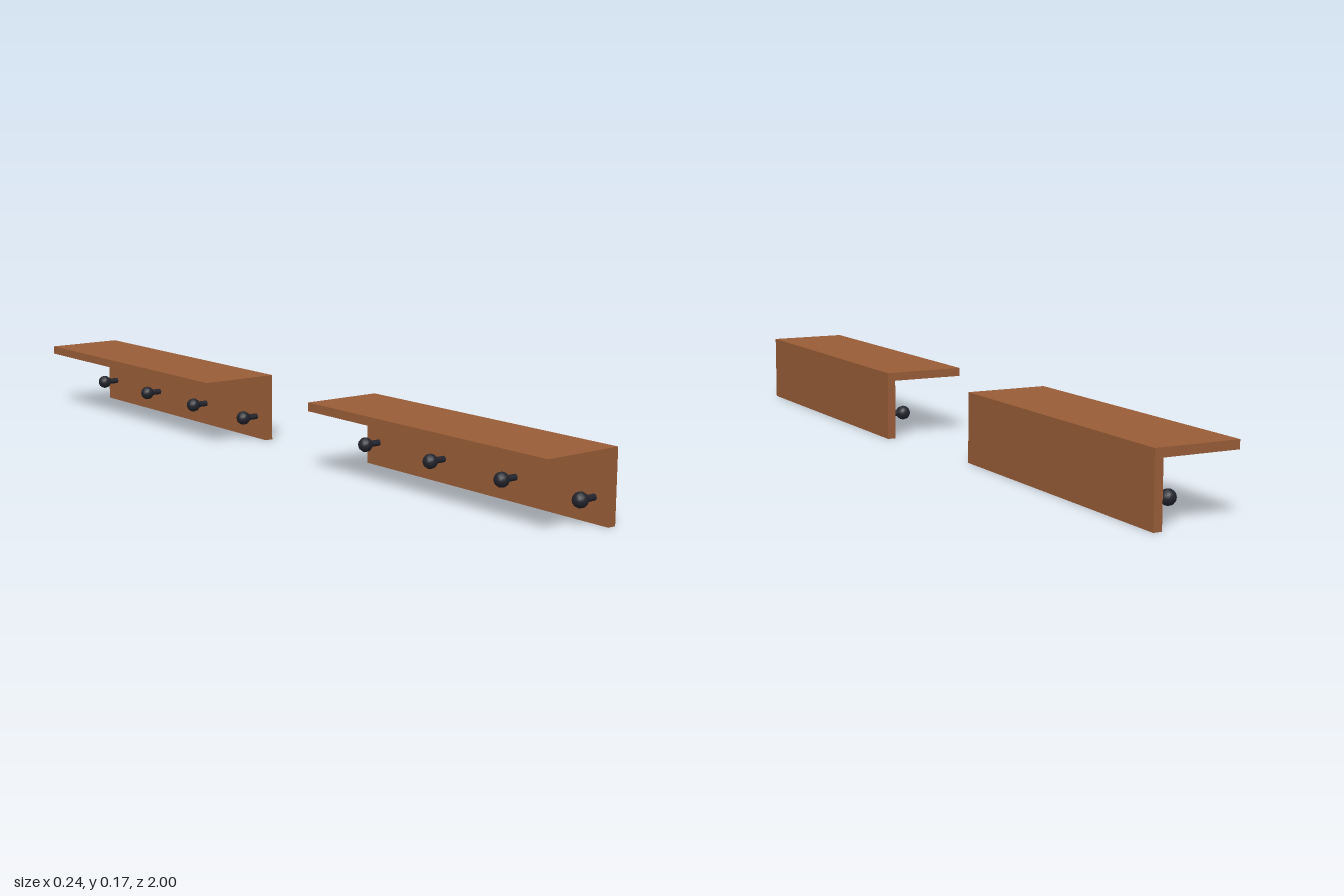
import * as THREE from 'three';

const LENGTH = 0.807, HALF_W = 0.1055, HEIGHT = 0.175, THICK = 0.0215;
const WALL_X = HALF_W - THICK; // inner face of the upright board

export function createModel() {
  const wood = new THREE.MeshStandardMaterial({ color: 0x985c37 });
  wood.name = 'brown wood';
  const iron = new THREE.MeshStandardMaterial({ color: 0x23242c });
  iron.name = 'dark iron';

  // L-shaped section: flat shelf on top, upright board along one edge
  const section = new THREE.Shape([
    [-HALF_W, HEIGHT - THICK], [WALL_X, HEIGHT - THICK], [WALL_X, 0],
    [HALF_W, 0], [HALF_W, HEIGHT], [-HALF_W, HEIGHT],
  ].map(([x, y]) => new THREE.Vector2(x, y)));
  const boardGeo = new THREE.ExtrudeGeometry(section, { depth: LENGTH, bevelEnabled: false });
  boardGeo.translate(0, 0, -LENGTH / 2);

  // Peg parts, both lying along x
  const stemGeo = new THREE.CylinderGeometry(0.008, 0.008, 0.045, 12).rotateZ(Math.PI / 2);
  const knobGeo = new THREE.SphereGeometry(0.0185, 12, 8).rotateZ(Math.PI / 2);

  function makePeg(z) {
    const peg = new THREE.Group();
    peg.name = 'peg';
    const stem = new THREE.Mesh(stemGeo, iron);
    stem.name = 'pegStem';
    stem.position.x = WALL_X - 0.0215;
    const knob = new THREE.Mesh(knobGeo, iron);
    knob.name = 'pegKnob';
    knob.position.x = WALL_X - 0.0425;
    peg.add(stem, knob);
    peg.position.set(0, 0.059, z);
    return peg;
  }

  function makeShelf(name, z) {
    const shelf = new THREE.Group();
    shelf.name = name;
    const board = new THREE.Mesh(boardGeo, wood);
    board.name = 'shelfBoard';
    shelf.add(board);
    for (let i = 0; i < 4; i++) shelf.add(makePeg(-0.36 + i * 0.24));
    shelf.position.z = z;
    shelf.rotation.y = -0.0335; // both shelves sit slightly askew
    return shelf;
  }

  const model = new THREE.Group();
  model.name = 'pegShelves';
  model.add(makeShelf('frontShelf', 0.593), makeShelf('backShelf', -0.593));
  return model;
}
